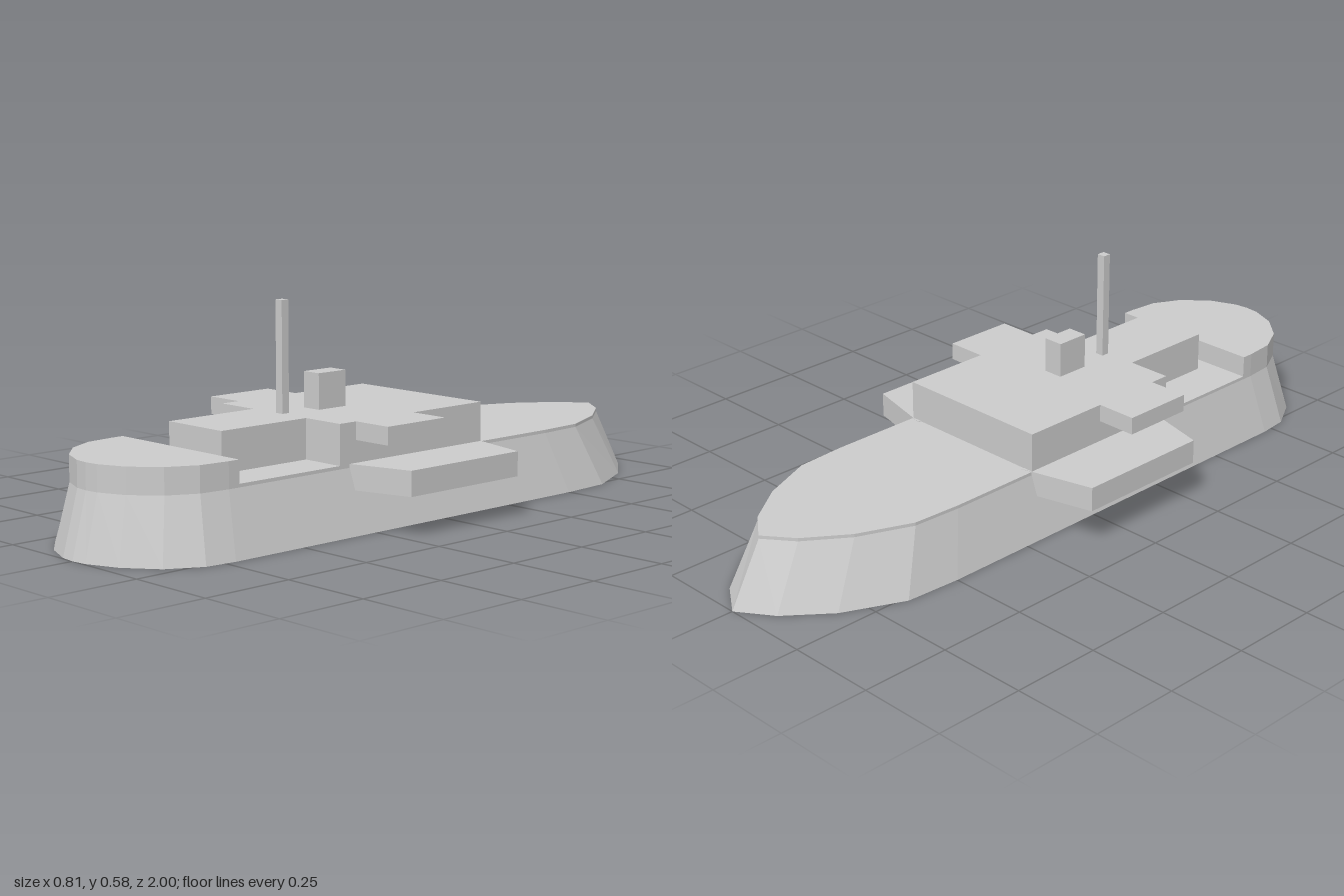
import * as THREE from 'three';

const material = new THREE.MeshStandardMaterial({ color: 0xcccccc, flatShading: true });

// Half outlines [x, z] from the pointed end (-z) to the rounded end (+z)
const KEEL = [[0, -1], [0.095, -0.935], [0.19, -0.82], [0.267, -0.656], [0.277, -0.5],
  [0.277, 0.72], [0.268, 0.805], [0.216, 0.895], [0.132, 0.96], [0.045, 0.995], [0, 1]];
const DECK = [[0, -0.907], [0.079, -0.847], [0.16, -0.735], [0.222, -0.588], [0.23, -0.45],
  [0.23, 0.7], [0.222, 0.783], [0.182, 0.86], [0.113, 0.922], [0.04, 0.952], [0, 0.956]];

const HULL_TOP = 0.168, DECK_TOP = 0.177, BLOCK_BOTTOM = 0.237, BLOCK_TOP = 0.285;

// Mirror a half outline to the other side
function mirrored(half) {
  const other = half.filter(([x]) => x > 0).reverse().map(([x, z]) => [-x, z]);
  return [...half, ...other];
}

// Upright prism over a plan outline
function prism(name, plan, y0, y1) {
  const shape = new THREE.Shape(plan.map(([x, z]) => new THREE.Vector2(x, -z)));
  const geometry = new THREE.ExtrudeGeometry(shape, { depth: y1 - y0, bevelEnabled: false });
  geometry.rotateX(-Math.PI / 2).translate(0, y0, 0);
  const mesh = new THREE.Mesh(geometry, material);
  mesh.name = name;
  return mesh;
}

// Box given by its half width and its z and y ranges
function block(name, halfX, z0, z1, y0, y1) {
  const geometry = new THREE.BoxGeometry(2 * halfX, y1 - y0, z1 - z0);
  geometry.translate(0, (y0 + y1) / 2, (z0 + z1) / 2);
  const mesh = new THREE.Mesh(geometry, material);
  mesh.name = name;
  return mesh;
}

// Sloping hull sides between keel and deck outlines, with a flat bottom
function hull() {
  const low = mirrored(KEEL), high = mirrored(DECK);
  const positions = [];
  low.forEach(([x, z], i) => {
    const j = (i + 1) % low.length;
    const a = [x, 0, z], b = [low[j][0], 0, low[j][1]];
    const c = [high[j][0], HULL_TOP, high[j][1]], d = [high[i][0], HULL_TOP, high[i][1]];
    positions.push(...a, ...c, ...b, ...a, ...d, ...c);
    positions.push(0, 0, 0, ...a, ...b);
  });
  const geometry = new THREE.BufferGeometry();
  geometry.setAttribute('position', new THREE.Float32BufferAttribute(positions, 3));
  geometry.computeVertexNormals();
  const mesh = new THREE.Mesh(geometry, material);
  mesh.name = 'hull';
  return mesh;
}

export function createModel() {
  const ship = new THREE.Group();
  ship.name = 'ship';

  // Hull, deck and raised rounded end
  ship.add(hull());
  ship.add(prism('deck', mirrored(DECK), HULL_TOP, DECK_TOP));
  const raisedHalf = [[0.23, 0.667], ...DECK.slice(5)];
  ship.add(prism('raisedDeck', mirrored(raisedHalf), DECK_TOP, BLOCK_BOTTOM));

  // Side platforms with tapered ends, running into the hull
  for (const [side, name] of [[1, 'leftPlatform'], [-1, 'rightPlatform']]) {
    const plan = [[0.2, -0.195], [0.405, -0.143], [0.405, 0.252], [0.2, 0.307]];
    ship.add(prism(name, plan.map(([x, z]) => [side * x, z]), 0.111, 0.178));
  }

  // Stepped superstructure
  const house = [[0.23, -0.186], [0.23, 0.333], [0.103, 0.333], [0.103, 0.616]];
  ship.add(prism('superstructure', mirrored(house), DECK_TOP, BLOCK_TOP));

  // Overhanging bridge wings, flush with the roof
  for (const [side, name] of [[1, 'leftBridgeWing'], [-1, 'rightBridgeWing']]) {
    const wing = block(name, 0.0575, 0.07, 0.276, BLOCK_BOTTOM, BLOCK_TOP);
    wing.position.x = side * 0.2875;
    ship.add(wing);
  }

  // Funnel and mast
  ship.add(block('funnel', 0.029, 0.124, 0.22, BLOCK_TOP, 0.382));
  ship.add(block('mast', 0.012, 0.31, 0.333, BLOCK_TOP, 0.582));

  return ship;
}
